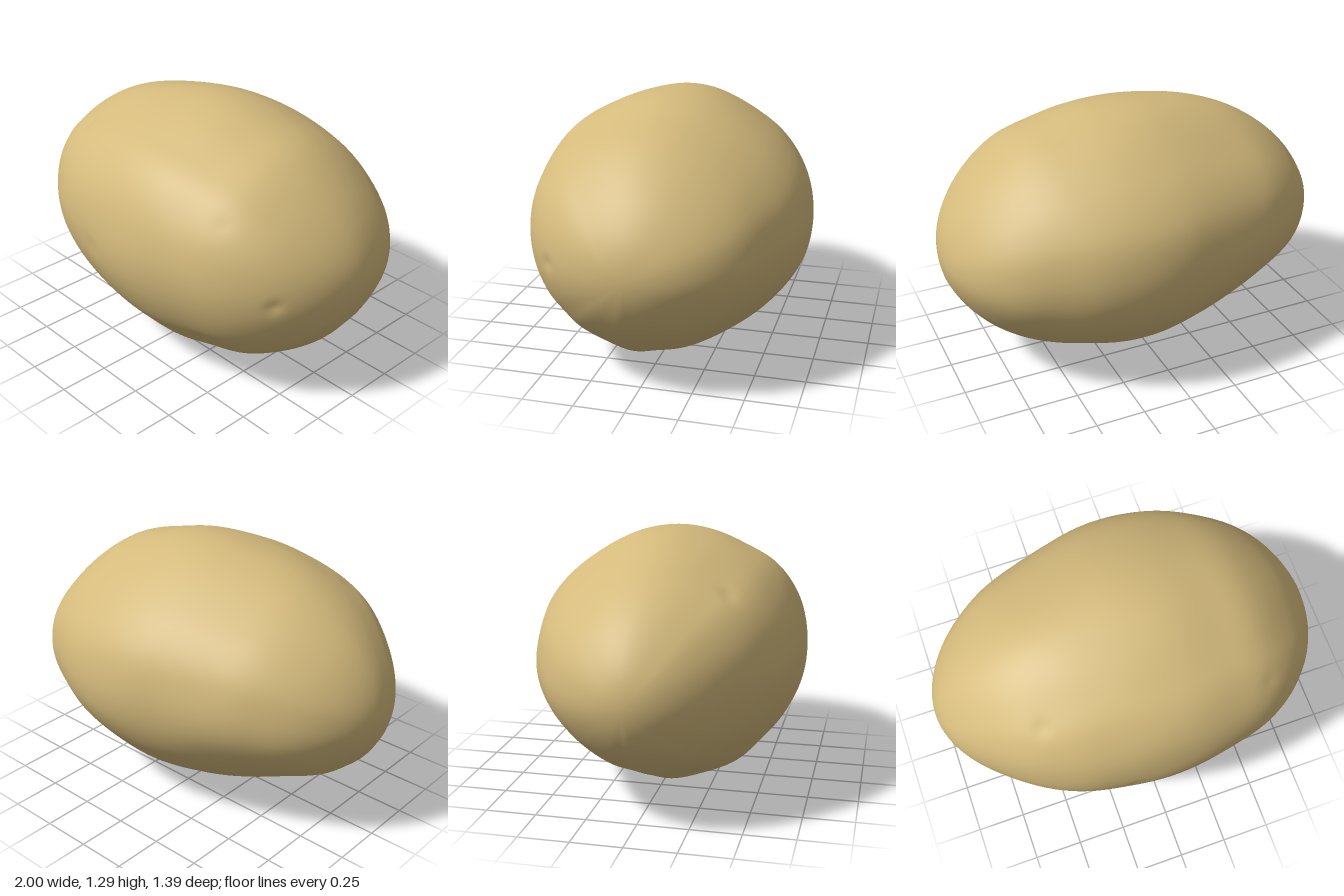
import * as THREE from 'three';

// Stations at even x from -1 to 1: [radius / sin, centre] in height and in depth
const HEIGHT = [[0.58, 0.65], [0.6, 0.66], [0.6, 0.675], [0.614, 0.667], [0.63, 0.657], [0.644, 0.651],
  [0.65, 0.649], [0.646, 0.648], [0.66, 0.643], [0.638, 0.633], [0.6, 0.63]];
const DEPTH = [[0.61, 0], [0.638, 0], [0.66, 0.012], [0.668, 0.018], [0.674, 0.01], [0.69, 0],
  [0.704, -0.005], [0.715, -0.005], [0.728, 0.008], [0.758, 0.005], [0.78, 0]];

// Lumpy cross-section as [z, y], from the front over the top to the back
const SECTION = [[0.697, 0.7], [0.665, 0.88], [0.6, 1.01], [0.5, 1.12], [0.38, 1.19], [0.2, 1.265],
  [0.03, 1.295], [-0.12, 1.28], [-0.25, 1.235], [-0.4, 1.15], [-0.55, 1.03], [-0.65, 0.89],
  [-0.697, 0.7], [-0.685, 0.55], [-0.63, 0.42], [-0.54, 0.3], [-0.4, 0.17], [-0.2, 0.055],
  [-0.05, 0.02], [0.08, 0], [0.22, 0.04], [0.4, 0.125], [0.5, 0.225], [0.6, 0.35], [0.675, 0.52]];

// Small eyes in the skin: x, y, z, radius, depth
const EYES = [[0.83, 0.63, 0.4, 0.04, 0.014], [-0.52, 1.07, 0.38, 0.05, 0.01],
  [0.47, 0.3, 0.5, 0.05, 0.008], [0.58, 0.96, 0.47, 0.05, 0.006], [-0.15, 0.63, 0.68, 0.06, 0.006]];

const spline = (rows) => new THREE.SplineCurve(rows.map(([a, b]) => new THREE.Vector2(a, b)));

function potatoGeometry(rings = 110, sides = 144) {
  const height = spline(HEIGHT), depth = spline(DEPTH);
  const outline = new THREE.CatmullRomCurve3(
    SECTION.map(([z, y]) => new THREE.Vector3(0, (y - 0.6475) / 0.6475, z / 0.697)), true)
    .getSpacedPoints(sides);
  const pos = [-1, 0.65, 0], index = [];
  const p = new THREE.Vector3(), out = new THREE.Vector3(), eye = new THREE.Vector3();

  for (let i = 1; i < rings; i++) {
    const angle = Math.PI * i / rings, x = -Math.cos(angle), s = Math.sin(angle);
    const h = height.getPoint((x + 1) / 2), d = depth.getPoint((x + 1) / 2);
    for (let j = 0; j < sides; j++) {
      p.set(x, h.y + outline[j].y * h.x * s, d.y + outline[j].z * d.x * s);
      out.set(p.x, (p.y - 0.65) * 2, p.z * 2).normalize();
      // Gentle unevenness of the skin
      let push = 0.0025 * s * (Math.sin(7 * p.x + 9 * p.y) * Math.sin(8 * p.z - 3 * p.x)
        + 0.6 * Math.sin(13 * p.y - 5 * p.x) * Math.sin(11 * p.z + 4 * p.x));
      for (const [ex, ey, ez, r, deep] of EYES) {
        const q = p.distanceToSquared(eye.set(ex, ey, ez)) / (r * r);
        push -= deep * Math.exp(-q * 1.5);
      }
      p.addScaledVector(out, push);
      pos.push(p.x, p.y, p.z);
    }
  }
  pos.push(1, 0.63, 0);

  // Faces: fans at both tips, quads between the rings
  const last = pos.length / 3 - 1;
  const at = (i, j) => 1 + i * sides + j % sides;
  for (let j = 0; j < sides; j++) {
    index.push(0, at(0, j), at(0, j + 1), last, at(rings - 2, j + 1), at(rings - 2, j));
    for (let i = 0; i < rings - 2; i++) {
      const a = at(i, j), b = at(i + 1, j), c = at(i + 1, j + 1), e = at(i, j + 1);
      index.push(a, b, c, a, c, e);
    }
  }
  const g = new THREE.BufferGeometry();
  g.setAttribute('position', new THREE.Float32BufferAttribute(pos, 3));
  g.setIndex(index);
  g.computeBoundingBox();
  g.translate(0, -g.boundingBox.min.y, 0);
  g.computeVertexNormals();
  return g;
}

export function createModel() {
  const skin = new THREE.MeshStandardMaterial({ color: 0xd4ba7c });
  skin.name = 'potato skin';
  const potato = new THREE.Mesh(potatoGeometry(), skin);
  potato.name = 'potato';
  const group = new THREE.Group();
  group.name = 'potatoModel';
  group.add(potato);
  return group;
}
